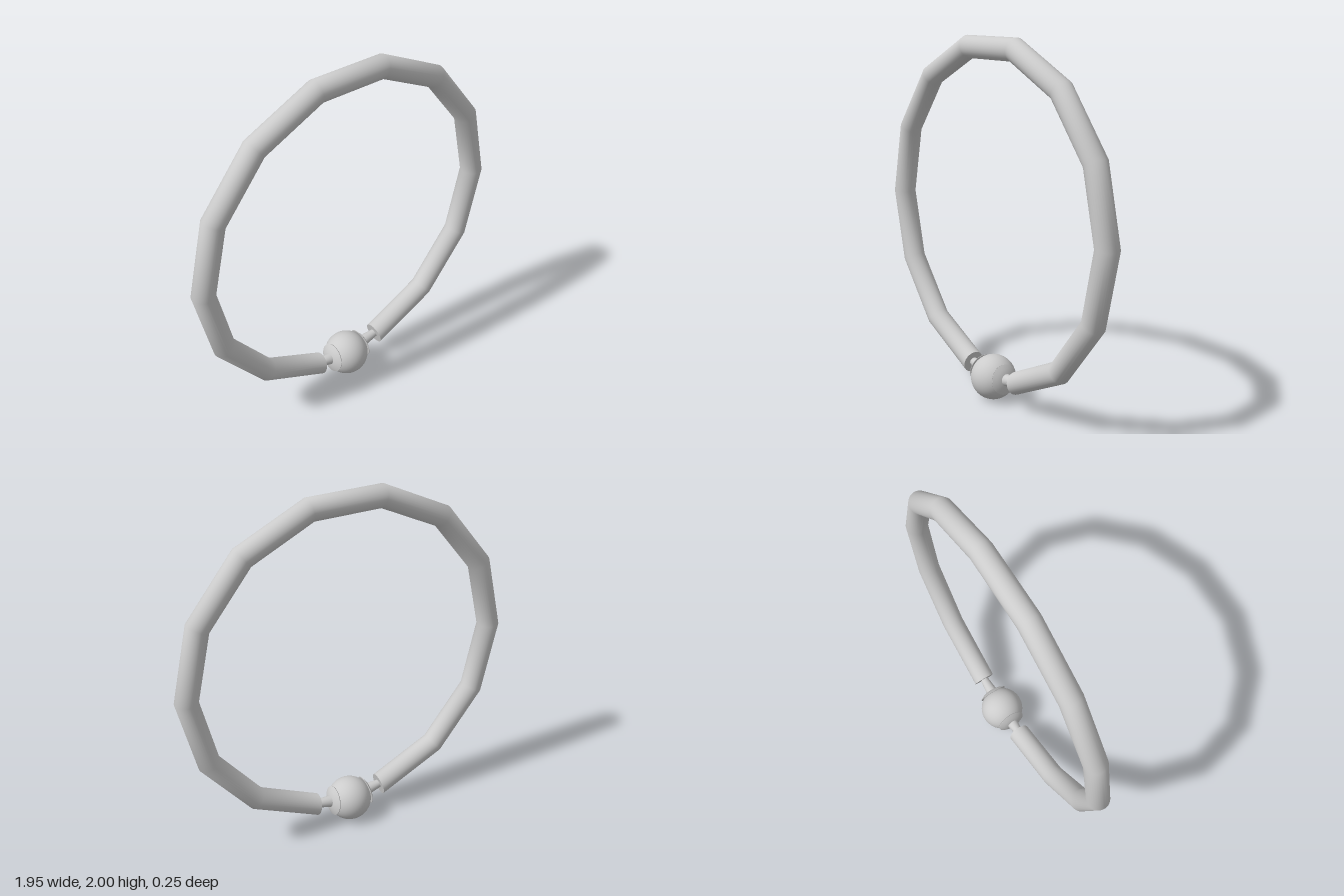
import * as THREE from 'three';

export function createModel() {
  const model = new THREE.Group();
  const grey = new THREE.MeshStandardMaterial({ color: 0xcccccc, side: THREE.DoubleSide });
  const add = (parent, name, geometry) => {
    const mesh = new THREE.Mesh(geometry, grey);
    mesh.name = name;
    parent.add(mesh);
    return mesh;
  };

  // Hoop: a 14-sided ring with its bottom side left open, leaning slightly forward
  const R = 0.915, r = 0.0625, step = Math.PI / 7, start = -3 * step;
  const hoop = new THREE.Group();
  hoop.name = 'hoop';
  hoop.position.set(-0.002, 1.047, 0.006);
  hoop.rotation.x = 0.01;
  model.add(hoop);
  add(hoop, 'hoopTube', new THREE.TorusGeometry(R, r, 32, 13, 13 * step).rotateZ(start));

  // Flat discs closing both tube ends
  for (const [name, angle, turn] of [['leftEndCap', start, 1], ['rightEndCap', start + 13 * step, -1]]) {
    const cap = add(hoop, name, new THREE.CircleGeometry(r, 32).rotateX(turn * Math.PI / 2));
    cap.position.set(R * Math.cos(angle), R * Math.sin(angle), 0);
    cap.rotation.z = angle;
  }

  // Bead in the opening
  const centre = new THREE.Vector3(-0.01, 0.126, -0.004);
  add(model, 'bead', new THREE.SphereGeometry(0.126, 48, 32)).position.copy(centre);

  // Cup and tapered peg on each side of the bead, aimed at the tube ends
  const up = new THREE.Vector3(0, 1, 0);
  const cupProfile = [[0.083, 0.104], [0.084, 0.108], [0.084, 0.108], [0.06, 0.121], [0.03, 0.129], [0, 0.131]];
  const innerProfile = [[0, 0.122], [0.04, 0.118], [0.065, 0.108], [0.083, 0.104]];
  const points = [...innerProfile, ...cupProfile.slice(1)].map(([x, y]) => new THREE.Vector2(x, y));
  for (const [side, s] of [['left', 1], ['right', -1]]) {
    const target = new THREE.Vector3(s * 0.206, 0.158, -0.003);
    const axis = target.sub(centre);
    const length = axis.length();
    const fitting = new THREE.Group();
    fitting.name = side + 'Fitting';
    fitting.position.copy(centre);
    fitting.quaternion.setFromUnitVectors(up, axis.normalize());
    model.add(fitting);
    add(fitting, side + 'Cup', new THREE.LatheGeometry(points, 40));
    const pegLength = length - 0.115 + 0.01;
    add(fitting, side + 'Peg', new THREE.CylinderGeometry(0.022, 0.035, pegLength, 24))
      .position.y = 0.115 + pegLength / 2;
  }
  return model;
}
